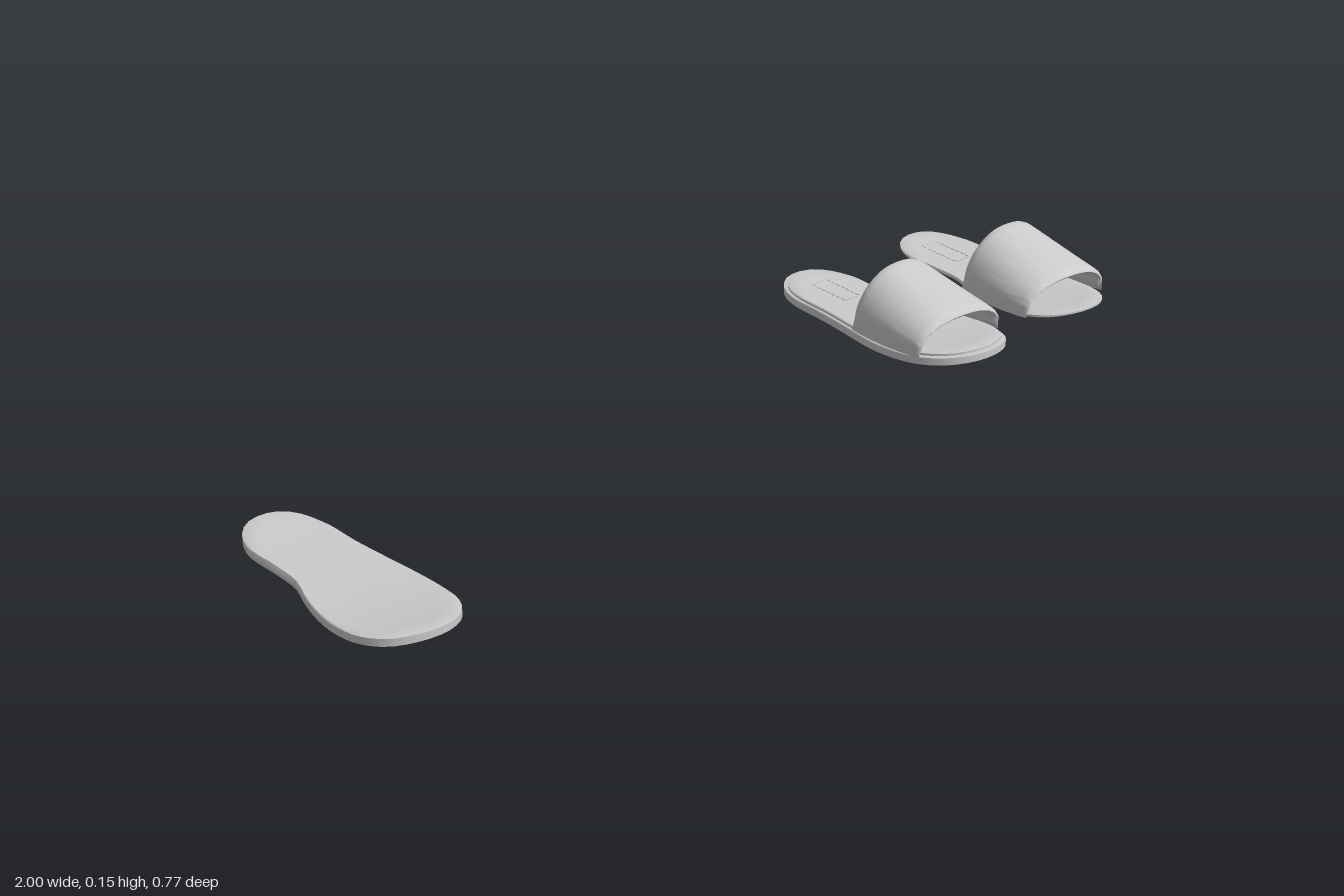
import * as THREE from 'three';
import { toCreasedNormals } from 'three/addons/utils/BufferGeometryUtils.js';

const material = new THREE.MeshStandardMaterial({ color: 0xcccccc, side: THREE.DoubleSide });

// Foot outline [x, z], running from the outer side to the toe, inner side and heel
const outline = new THREE.CatmullRomCurve3([
  [0.105, 0], [0.111, 0.06], [0.111, 0.13], [0.1, 0.2], [0.072, 0.25], [0.035, 0.276], [0, 0.283],
  [-0.04, 0.276], [-0.08, 0.252], [-0.106, 0.2], [-0.111, 0.13], [-0.102, 0.06], [-0.087, 0],
  [-0.071, -0.05], [-0.069, -0.12], [-0.07, -0.2], [-0.052, -0.25], [-0.024, -0.276], [0.01, -0.283],
  [0.044, -0.276], [0.073, -0.25], [0.09, -0.2], [0.095, -0.1],
].map(([x, z]) => new THREE.Vector3(x, 0, z)), true);

// Height of the underside along the foot: raised toe, slightly raised heel
function lift(z) {
  const toe = Math.max(0, (z - 0.02) / 0.263);
  const heel = Math.max(0, (-z - 0.2) / 0.083);
  return 0.028 * toe * toe + 0.008 * heel * heel;
}

// Surface through closed loops; side = -1 mirrors it across x
function loft(rows, cols, point, side) {
  const positions = [], index = [];
  for (let i = 0; i < rows; i++) {
    for (let j = 0; j < cols; j++) {
      const [x, y, z] = point(i, j);
      positions.push(x * side, y, z);
      if (i === rows - 1) continue;
      const k = (j + 1) % cols;
      const a = i * cols + j, b = a + cols, c = i * cols + k, d = c + cols;
      if (side > 0) index.push(a, b, c, b, d, c);
      else index.push(a, c, b, b, c, d);
    }
  }
  const geometry = new THREE.BufferGeometry();
  geometry.setAttribute('position', new THREE.Float32BufferAttribute(positions, 3));
  geometry.setIndex(index);
  return toCreasedNormals(geometry, 0.7);
}

function mesh(name, geometry) {
  const m = new THREE.Mesh(geometry, material);
  m.name = name;
  return m;
}

// Foot-shaped slab built from concentric rings, under side to top side
function slab(name, scale, bottom, top, side) {
  const rings = [
    [0, bottom], [0.3, bottom], [0.6, bottom], [0.85, bottom], [0.98, bottom], [1, bottom + 0.002],
    [1, top - 0.002], [0.98, top], [0.85, top], [0.6, top], [0.3, top], [0, top],
  ];
  const count = 64;
  const edge = outline.getSpacedPoints(count);
  return mesh(name, loft(rings.length, count, (i, j) => {
    const s = rings[i][0] * scale;
    const z = edge[j].z * s;
    return [edge[j].x * s, rings[i][1] + lift(z), z];
  }, side));
}

// Wide padded band arching over the foot, taller at the back
function strap(side) {
  // [position from back to front, depth below the outer surface]
  const profile = [
    [0, 0.007], [0.015, 0.003], [0.05, 0.0005], [0.1, 0], [0.3, 0], [0.5, 0], [0.7, 0], [0.9, 0],
    [0.96, 0.0005], [0.99, 0.003], [1, 0.007], [0.98, 0.012], [0.75, 0.012], [0.5, 0.012],
    [0.25, 0.012], [0.02, 0.012],
  ];
  const steps = 36;
  return mesh('strap', loft(steps + 1, profile.length, (i, j) => {
    const angle = Math.PI * i / steps;
    const sin = Math.max(0, Math.sin(angle)), cos = Math.cos(angle);
    const [t, depth] = profile[j];
    const off = depth * Math.min(1, sin * 6);
    const z = THREE.MathUtils.lerp(-0.005 + 0.025 * sin, 0.2 + 0.01 * sin, t);
    const base = 0.019 + lift(z);
    const apex = 0.156 - 0.052 * t;
    const tuck = 0.94 + 0.06 * Math.min(1, sin * 3);
    const half = (0.105 + 0.025 * t - 0.014 * t * t) * tuck - off;
    const x = 0.004 * (1 - t) + half * Math.sign(cos) * Math.abs(cos) ** 0.85;
    return [x, base + (apex - base - off) * sin ** 0.85, z];
  }, side));
}

// Dashed rectangle of stitches on the heel
function stitching(side) {
  const group = new THREE.Group();
  group.name = 'heelStitching';
  const add = (x, z, w, d) => {
    const stitch = mesh('stitch', new THREE.BoxGeometry(w, 0.002, d));
    stitch.position.set(x * side, 0.0265, z);
    group.add(stitch);
  };
  for (const e of [-1, 1]) {
    for (let i = 0; i < 7; i++) add(0.008 + e * 0.02, -0.205 + i * 0.015, 0.003, 0.01);
    for (let i = -1; i <= 1; i++) add(0.008 + i * 0.0135, -0.16 + e * 0.052, 0.009, 0.003);
  }
  return group;
}

function sandal(name, side, withOutsole) {
  const group = new THREE.Group();
  group.name = name;
  group.add(slab('insole', 0.96, 0.018, 0.026, side), strap(side), stitching(side));
  if (withOutsole) group.add(slab('outsole', 1, 0, 0.019, side));
  return group;
}

export function createModel() {
  const model = new THREE.Group();
  model.name = 'sandals';

  // Complete right sandal
  const right = sandal('rightSandal', -1, true);
  right.position.set(0.588, 0, -0.1);

  // Left sandal, shown apart from its outsole
  const left = sandal('leftSandal', 1, false);
  left.position.set(0.885, 0, -0.1);

  const loose = slab('looseOutsole', 1, 0, 0.019, 1);
  loose.position.set(-0.889, 0, 0.1);

  model.add(right, left, loose);
  return model;
}
